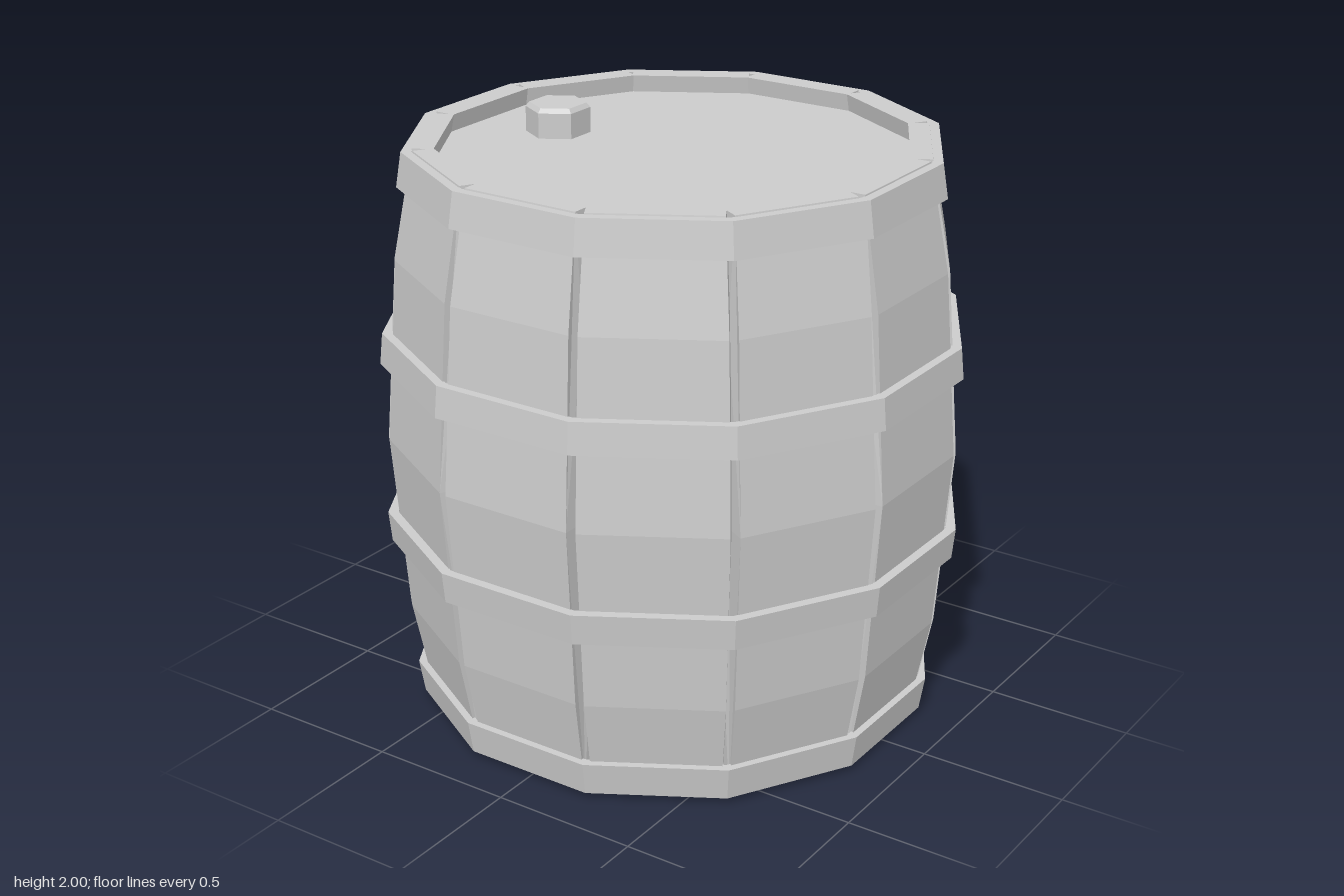
import * as THREE from 'three';

const SIDES = 12;
const STEP = (Math.PI * 2) / SIDES;
const CORNER = 1 / Math.cos(STEP / 2); // flat distance -> corner radius

// Outer face of the staves: [height, distance from axis]
const PROFILE = [[0, 0.82], [0.36, 0.888], [0.98, 0.934], [1.6, 0.888], [1.96, 0.82]];
const THICKNESS = 0.07;

function outerAt(y) {
  for (let i = 1; i < PROFILE.length; i++) {
    const [y0, r0] = PROFILE[i - 1];
    const [y1, r1] = PROFILE[i];
    if (y <= y1 || i === PROFILE.length - 1) return r0 + ((r1 - r0) * (y - y0)) / (y1 - y0);
  }
}

// Bowed plank, widest at the belly, with a narrow gap to its neighbours
function staveGeometry() {
  const outer = PROFILE.map(([y, r]) => new THREE.Vector2(r, y));
  const inner = PROFILE.map(([y, r]) => new THREE.Vector2(r - THICKNESS, y)).reverse();
  const geo = new THREE.ExtrudeGeometry(new THREE.Shape([...outer, ...inner]), {
    depth: 1, bevelEnabled: false,
  });
  const p = geo.attributes.position;
  for (let i = 0; i < p.count; i++) {
    const half = outerAt(p.getY(i)) * Math.tan(STEP / 2) * 0.937;
    p.setZ(i, p.getZ(i) > 0.5 ? half : -half);
  }
  geo.computeVertexNormals();
  return geo;
}

// Closed twelve-sided band: bottom and top heights with their outer distances
function hoopGeometry(y0, r0, y1, r1) {
  const t = 0.034;
  const points = [[r0, y0], [r1, y1], [r1 - t, y1], [r0 - t, y0], [r0, y0]]
    .map(([r, y]) => new THREE.Vector2(r * CORNER, y));
  return new THREE.LatheGeometry(points, SIDES, STEP / 2);
}

export function createModel() {
  const model = new THREE.Group();
  model.name = 'barrel';
  const material = new THREE.MeshStandardMaterial({ color: 0xcccccc, flatShading: true });

  const add = (name, geometry, parent = model) => {
    const mesh = new THREE.Mesh(geometry, material);
    mesh.name = name;
    parent.add(mesh);
    return mesh;
  };

  // Staves
  const staves = new THREE.Group();
  staves.name = 'staves';
  model.add(staves);
  const stave = staveGeometry();
  for (let i = 0; i < SIDES; i++) add('stave', stave, staves).rotation.y = i * STEP;

  // Hoops
  const hoops = new THREE.Group();
  hoops.name = 'hoops';
  model.add(hoops);
  add('bottomHoop', hoopGeometry(0.02, 0.852, 0.135, 0.87), hoops);
  add('lowerHoop', hoopGeometry(0.605, 0.936, 0.71, 0.946), hoops);
  add('upperHoop', hoopGeometry(1.245, 0.946, 1.35, 0.936), hoops);
  add('topHoop', hoopGeometry(1.84, 0.87, 1.955, 0.852), hoops);

  // Recessed heads
  const headRadius = 0.78 * CORNER;
  const head = new THREE.CylinderGeometry(headRadius, headRadius, 0.06, SIDES, 1, false, STEP / 2);
  add('lid', head).position.y = 1.87;
  add('base', head).position.y = 0.06;

  // Six-sided bung with a chamfered top
  const bung = [[0, 1.89], [0.108, 1.89], [0.108, 1.985], [0.095, 2], [0, 2]]
    .map(([r, y]) => new THREE.Vector2(r, y));
  add('bung', new THREE.LatheGeometry(bung, 6)).position.x = -0.47;

  return model;
}
